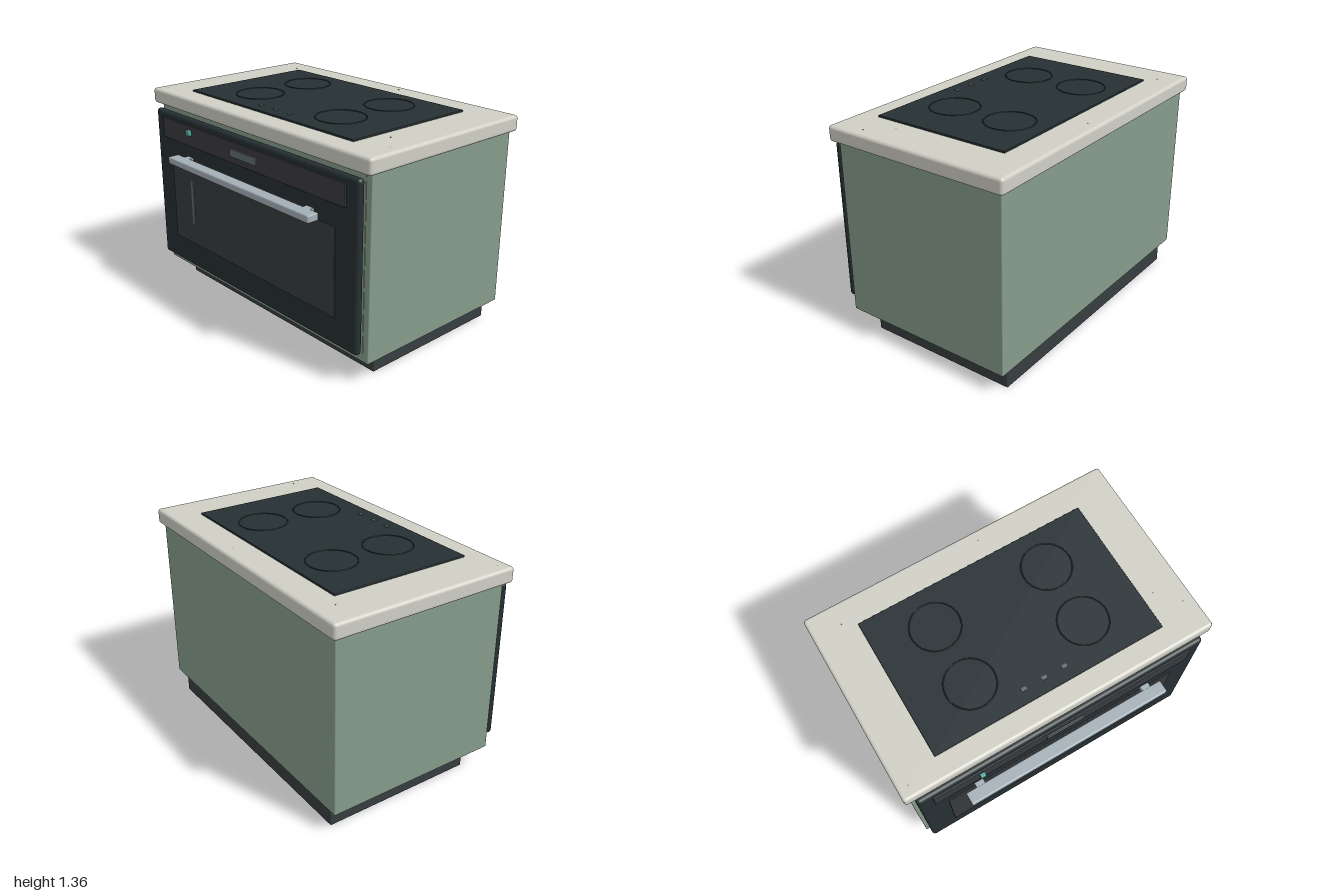
import * as THREE from 'three';
import { RoundedBoxGeometry } from 'three/addons/geometries/RoundedBoxGeometry.js';

const mat = (color) => new THREE.MeshStandardMaterial({ color });

export function createModel() {
  const group = new THREE.Group();
  const green = mat(0x869c8b), stone = mat(0xd0d0c6), black = mat(0x263033);
  const charcoal = mat(0x3a3b40), smoked = mat(0x373c3e), plinthGrey = mat(0x373d40);
  const steel = mat(0xa3aeb6), teal = mat(0x4fa69c), mark = mat(0x626c6e), fleck = mat(0x8d8d86);

  function add(name, geometry, material, x = 0, y = 0, z = 0) {
    const mesh = new THREE.Mesh(geometry, material);
    mesh.name = name;
    mesh.position.set(x, y, z);
    group.add(mesh);
    return mesh;
  }

  // Box given by its limits on each axis, with optional rounded edges
  function block(name, material, [x0, x1], [y0, y1], [z0, z1], radius = 0) {
    const size = [x1 - x0, y1 - y0, z1 - z0];
    const geometry = radius
      ? new RoundedBoxGeometry(...size, 4, radius)
      : new THREE.BoxGeometry(...size);
    return add(name, geometry, material, (x0 + x1) / 2, (y0 + y1) / 2, (z0 + z1) / 2);
  }

  // Cabinet
  block('plinth', plinthGrey, [-0.89, 0.89], [0, 0.14], [-0.613, 0.373], 0.006);
  block('cabinet', green, [-0.967, 0.967], [0.135, 1.25], [-0.64, 0.5], 0.006);
  block('frontFrame', green, [-0.927, 0.927], [0.182, 1.24], [0.49, 0.503]);
  block('worktop', stone, [-1, 1], [1.243, 1.34], [-0.67, 0.548], 0.02);

  // Oven door, joined to the cabinet by hidden hinge blocks
  block('ovenDoor', black, [-0.943, 0.943], [0.2, 1.22], [0.52, 0.568], 0.022);
  block('controlPanel', charcoal, [-0.853, 0.853], [1.047, 1.18], [0.56, 0.579], 0.003);
  block('display', mark, [-0.124, 0.124], [1.088, 1.137], [0.575, 0.587], 0.003);
  block('indicatorButton', teal, [-0.565, -0.531], [1.12, 1.156], [0.575, 0.602], 0.006);
  block('doorWindow', smoked, [-0.773, 0.773], [0.375, 0.915], [0.56, 0.575], 0.002);
  block('windowHighlight', mark, [-0.569, -0.545], [0.517, 0.817], [0.57, 0.579]);

  // Handle and its two brackets
  block('handleBar', steel, [-0.671, 0.671], [0.926, 0.972], [0.594, 0.672], 0.009);
  for (const x of [-0.572, 0.572]) {
    block('handleBracket', steel, [x - 0.03, x + 0.03], [0.93, 0.97], [0.56, 0.605], 0.004);
  }

  // Cooktop with four ring markings
  block('cooktop', black, [-0.738, 0.738], [1.335, 1.351], [-0.485, 0.413], 0.003);
  for (const x of [-0.37, 0.37]) {
    for (const z of [-0.245, 0.153]) {
      const ring = add('burnerRing', new THREE.TorusGeometry(0.15, 0.004, 8, 64), black, x, 1.351, z);
      ring.rotation.x = Math.PI / 2;
    }
  }

  // Touch controls
  for (const x of [-0.131, 0, 0.131]) {
    block('touchControl', mark, [x - 0.016, x + 0.016], [1.348, 1.355], [0.322, 0.344]);
  }

  // Small flecks in the stone
  for (const [x, z] of [[-0.82, -0.535], [0.115, -0.603], [0.81, 0.207], [0.93, 0.338], [-0.935, 0.475]]) {
    add('stoneFleck', new THREE.CylinderGeometry(0.005, 0.005, 0.002, 8), fleck, x, 1.34, z);
  }

  return group;
}
